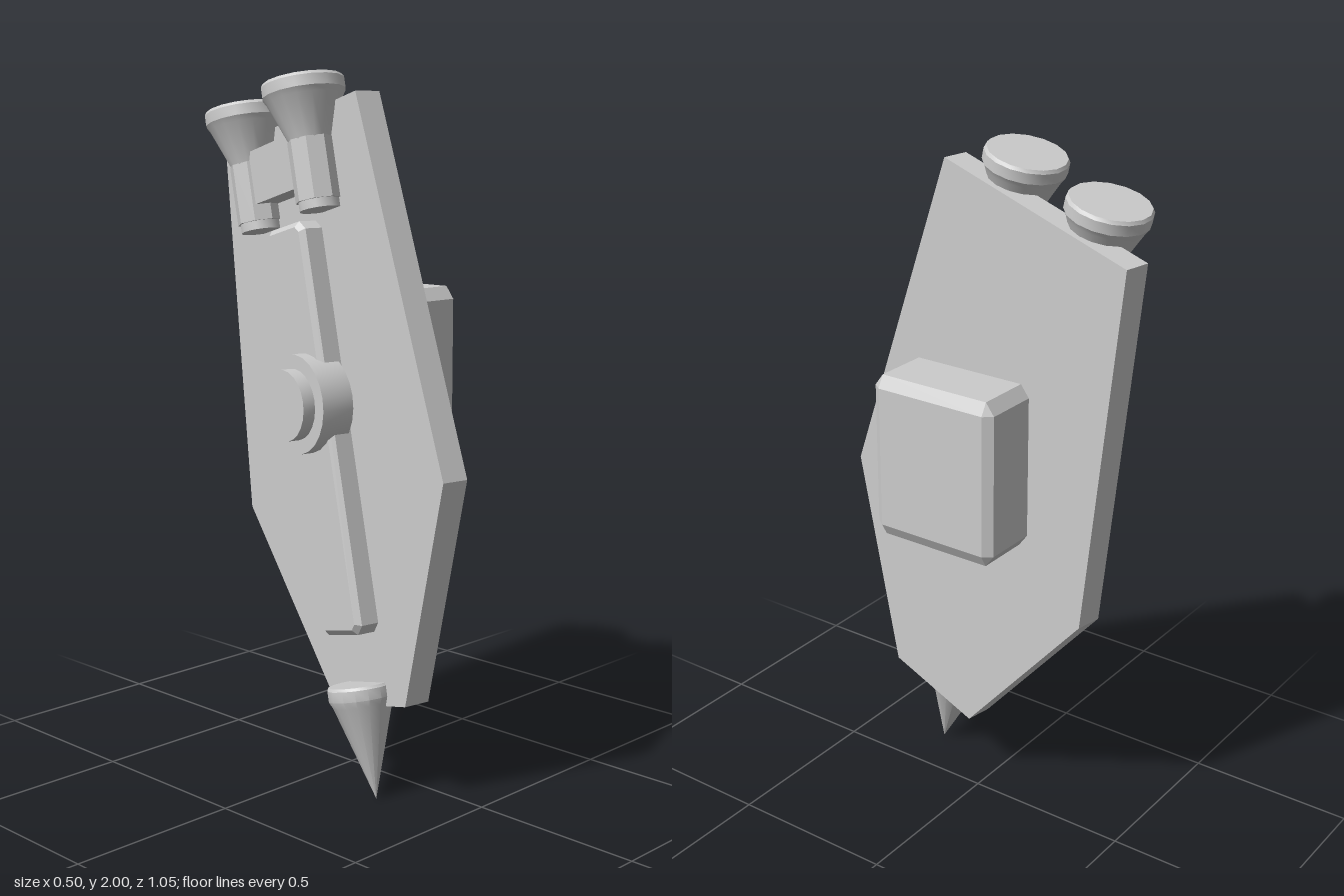
import * as THREE from 'three';
import { toCreasedNormals } from 'three/addons/utils/BufferGeometryUtils.js';
import { ConvexGeometry } from 'three/addons/geometries/ConvexGeometry.js';

const gray = new THREE.MeshStandardMaterial({ color: 0xcccccc });
gray.name = 'light gray';

function add(parent, name, geometry, x = 0, y = 0, z = 0) {
  const mesh = new THREE.Mesh(geometry, gray);
  mesh.name = name;
  mesh.position.set(x, y, z);
  parent.add(mesh);
  return mesh;
}

// Extrudes a (z, y) outline towards -x
function slab(points, depth, bevel = 0) {
  const shape = new THREE.Shape(points.map(([z, y]) => new THREE.Vector2(z, y)));
  const geometry = new THREE.ExtrudeGeometry(shape, {
    depth: depth - bevel, bevelEnabled: bevel > 0, bevelSize: bevel,
    bevelThickness: bevel, bevelOffset: -bevel, bevelSegments: 1,
  });
  return geometry.rotateY(-Math.PI / 2);
}

// Turned part with sharp rims and smooth sides
function turned(profile, sides = 16) {
  const points = profile.map(([r, y]) => new THREE.Vector2(r, y));
  return toCreasedNormals(new THREE.LatheGeometry(points, sides), 0.5);
}

// Block with every edge cut off
function chamferedBox(hx, hy, hz, bx, by, bz) {
  const points = [];
  for (const x of [-1, 1]) for (const y of [-1, 1]) for (const z of [-1, 1]) {
    points.push(
      new THREE.Vector3(x * hx, y * (hy - by), z * (hz - bz)),
      new THREE.Vector3(x * (hx - bx), y * hy, z * (hz - bz)),
      new THREE.Vector3(x * (hx - bx), y * (hy - by), z * hz),
    );
  }
  return new ConvexGeometry(points);
}

export function createModel() {
  const model = new THREE.Group();
  model.name = 'armShield';

  // Shield assembly, leaned back and turned slightly
  const shield = new THREE.Group();
  shield.name = 'shield';
  shield.position.set(-0.012, 0.825, 0.067);
  shield.rotation.set(THREE.MathUtils.degToRad(-14), THREE.MathUtils.degToRad(-10), 0, 'YXZ');
  model.add(shield);

  // Six-sided plate
  add(shield, 'shieldPlate', slab([
    [-0.167, -0.593], [0.167, -0.593], [0.476, 0],
    [0.34, 1.067], [-0.34, 1.067], [-0.476, 0],
  ], 0.08), -0.01);

  // Raised spine on the back with cut corners
  const w = 0.097, top = 0.77, bottom = -0.385, c = 0.025;
  add(shield, 'spine', slab([
    [-w + c, bottom], [w - c, bottom], [w, bottom + c], [w, top - c],
    [w - c, top], [-w + c, top], [-w, top - c], [-w, bottom + c],
  ], 0.07, 0.015), -0.09);

  // Two-step round boss
  const boss = turned([[0, 0], [0.14, 0], [0.14, 0.1], [0.1, 0.1], [0.1, 0.138], [0, 0.138]], 24);
  add(shield, 'boss', boss.rotateZ(Math.PI / 2), -0.098, 0.27, 0);

  // Thrusters with their mounts
  for (const side of [-1, 1]) {
    const thruster = new THREE.Group();
    thruster.name = side > 0 ? 'frontThruster' : 'rearThruster';
    thruster.position.set(-0.126, 0, side * 0.154);
    shield.add(thruster);
    add(thruster, 'nozzle', turned([
      [0, 0.93], [0.05, 0.93], [0.06, 0.975], [0.108, 1.09],
      [0.117, 1.105], [0.117, 1.135], [0.111, 1.144], [0, 1.144],
    ]));
    add(thruster, 'mount', turned([[0, 0.81], [0.066, 0.81], [0.066, 0.98], [0, 0.98]], 8));
    add(thruster, 'mountFoot', turned([[0, 0.785], [0.058, 0.785], [0.058, 0.82], [0, 0.82]]));
  }
  add(shield, 'crossbar', new THREE.BoxGeometry(0.08, 0.15, 0.3), -0.125, 0.93, 0);

  // Spike at the lower tip
  add(shield, 'spike', turned([
    [0, -0.851], [0.085, -0.585], [0.095, -0.565], [0.095, -0.535], [0.09, -0.527], [0, -0.527],
  ]), -0.113, 0, 0);

  // Upright forearm block beside the plate
  add(model, 'forearm', chamferedBox(0.1, 0.24, 0.198, 0.02, 0.035, 0.026), 0.153, 1.16, -0.023);

  return model;
}
